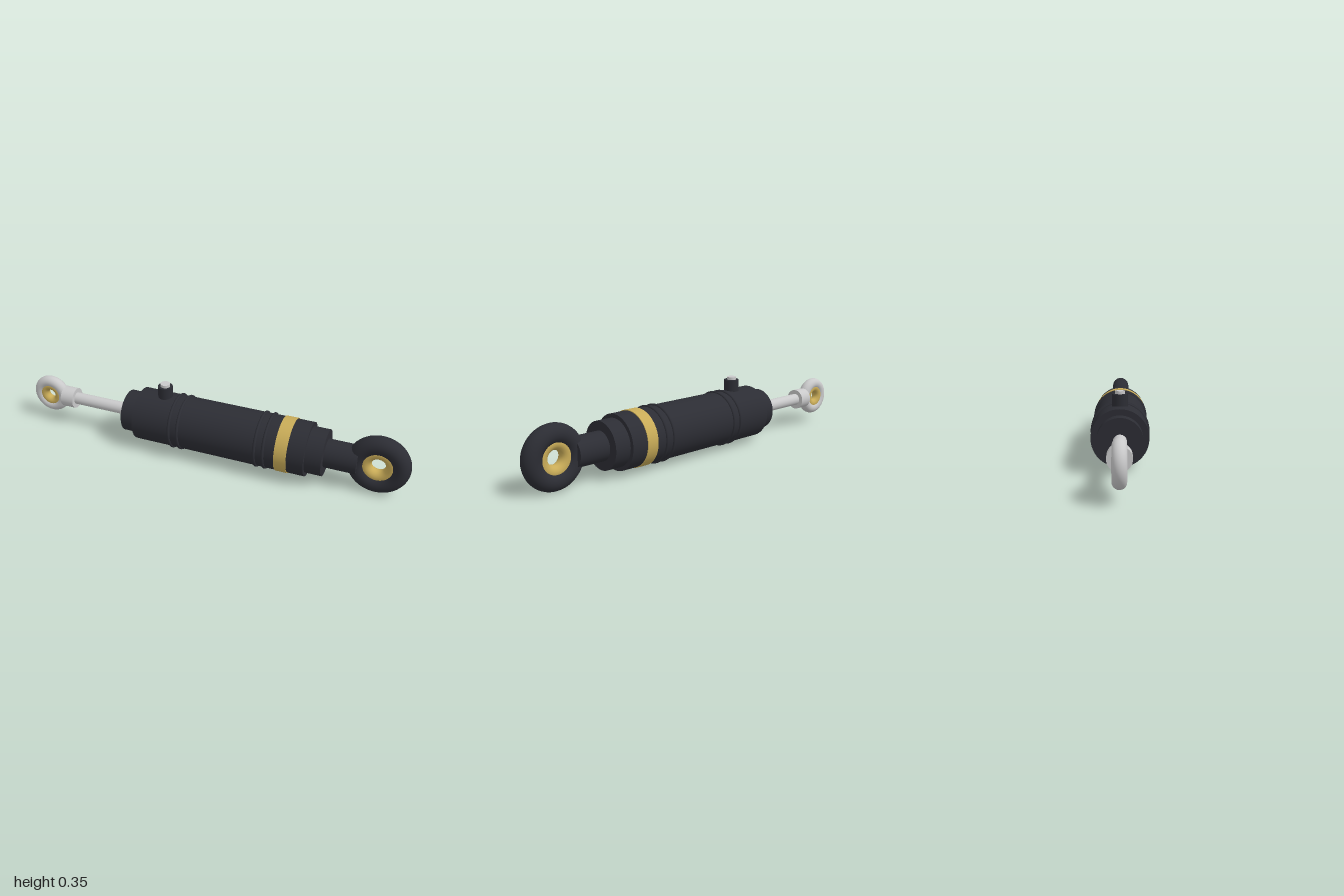
import * as THREE from 'three';

const AXIS_Y = 0.151;

export function createModel() {
  const model = new THREE.Group();
  model.name = 'hydraulicCylinder';

  const paint = (name, color) => {
    const m = new THREE.MeshStandardMaterial({ color });
    m.name = name;
    return m;
  };
  const black = paint('charcoal', 0x2c2d34);
  const steel = paint('steel', 0xc9c9ca);
  const gold = paint('brass', 0xc9ac58);

  const add = (name, geometry, material, x, y = AXIS_Y) => {
    const mesh = new THREE.Mesh(geometry, material);
    mesh.name = name;
    mesh.position.set(x, y, 0);
    model.add(mesh);
    return mesh;
  };

  // Cylinder lying along x between two stations
  const barrel = (name, x0, x1, radius, material) =>
    add(name, new THREE.CylinderGeometry(radius, radius, x1 - x0, 48).rotateZ(Math.PI / 2),
      material, (x0 + x1) / 2);

  // Mounting eye with a rounded brass bushing inside it
  const eye = (name, x, ring, ringTube, bush, bushTube, material) => {
    add(name, new THREE.TorusGeometry(ring, ringTube, 24, 56), material, x);
    add(name + 'Bushing', new THREE.TorusGeometry(bush, bushTube, 20, 48), gold, x);
  };

  // Main body, front gland and stepped rear cap
  barrel('rodGland', -0.44, -0.36, 0.105, black);
  barrel('body', -0.365, 0.52, 0.133, black);
  barrel('rearCap', 0.515, 0.6, 0.114, black);
  barrel('rearNeck', 0.595, 0.755, 0.07, black);
  barrel('brassBand', 0.377, 0.437, 0.1365, gold);

  // Paired ridges around the body
  for (const x of [-0.165, -0.12, 0.278, 0.321]) {
    add('bodyRidge', new THREE.TorusGeometry(0.133, 0.0075, 10, 48).rotateY(Math.PI / 2), black, x);
  }

  // Piston rod and its collar
  barrel('pistonRod', -0.78, -0.42, 0.031, steel);
  barrel('rodCollar', -0.82, -0.75, 0.053, steel);

  // Eyes at both ends
  eye('rodEye', -0.9, 0.07, 0.03, 0.046, 0.025, steel);
  eye('rearEye', 0.849, 0.105, 0.046, 0.065, 0.032, black);

  // Port on top of the body
  add('port', new THREE.CylinderGeometry(0.037, 0.037, 0.09, 24), black, -0.233, 0.293);
  add('portFitting', new THREE.CylinderGeometry(0.024, 0.024, 0.03, 24), steel, -0.233, 0.337);

  return model;
}
